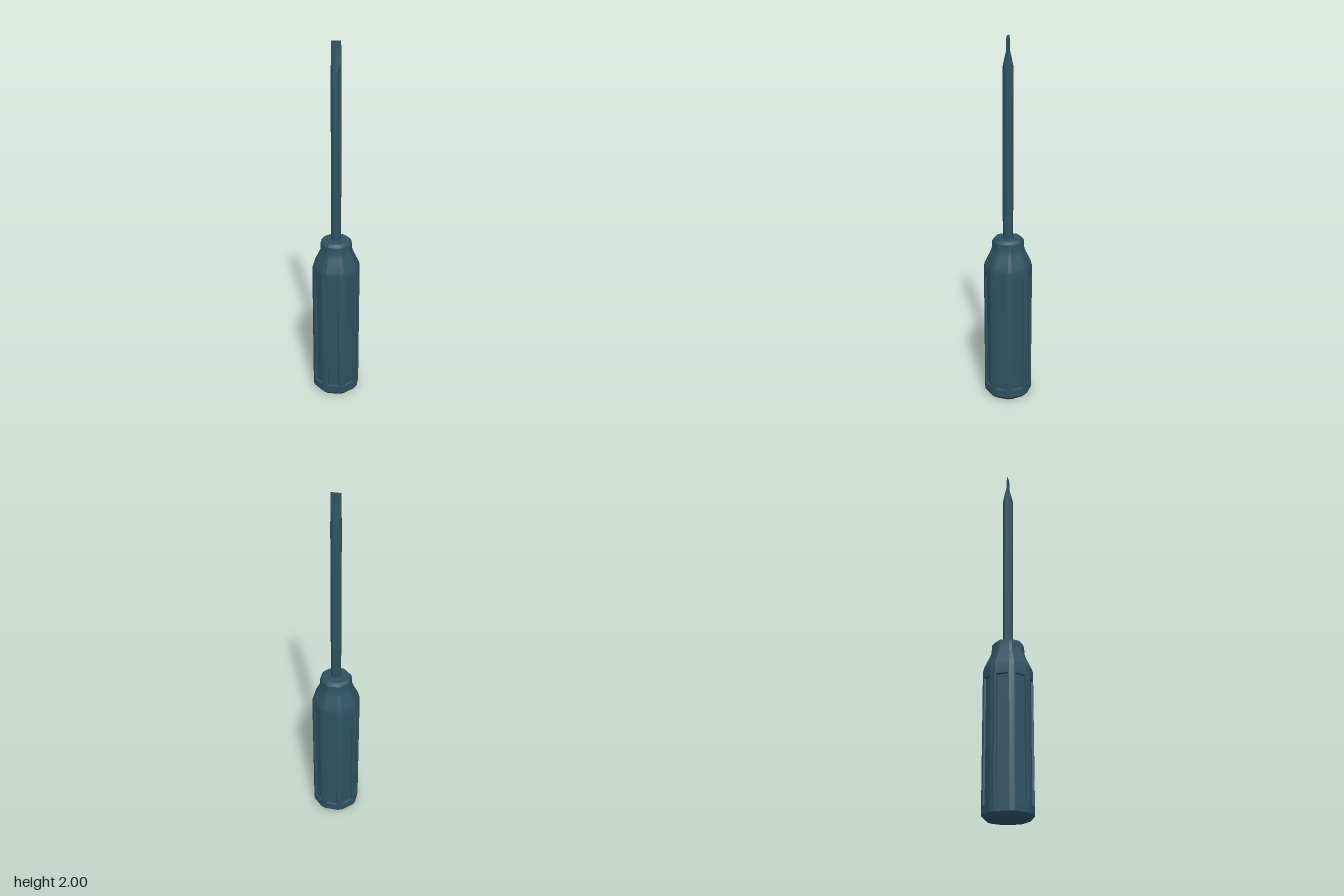
import * as THREE from 'three';
import { toCreasedNormals } from 'three/addons/utils/BufferGeometryUtils.js';

const STEP = Math.PI / 4;

// Point on side k of an octagonal prism: u along the side, out from the axis
function sidePoint(k, u, y, out) {
  const c = Math.cos(k * STEP), s = Math.sin(k * STEP);
  return [u * c + out * s, y, -u * s + out * c];
}

function quad(list, a, b, c, d) {
  list.push(...a, ...b, ...c, ...a, ...c, ...d);
}

// Octagon with bevelled corners (16 points)
function bevelledRing(y, out, half) {
  const ring = [];
  for (let k = 0; k < 8; k++) ring.push(sidePoint(k, -half, y, out), sidePoint(k, half, y, out));
  return ring;
}

// Regular octagon, with its x and z half widths set separately
function octagonRing(y, halfX, halfZ) {
  const ring = [];
  for (let k = 0; k < 8; k++) {
    const p = sidePoint(k, -Math.tan(STEP / 2), y, 1);
    ring.push([p[0] * halfX, y, p[2] * halfZ]);
  }
  return ring;
}

// Skin between rings, closed at both ends; skip leaves faces open
function loft(list, rings, skip = () => false) {
  const n = rings[0].length;
  const top = rings[rings.length - 1];
  for (let i = 0; i < n; i++) {
    const j = (i + 1) % n;
    for (let r = 0; r < rings.length - 1; r++) {
      if (!skip(r, i)) quad(list, rings[r][i], rings[r][j], rings[r + 1][j], rings[r + 1][i]);
    }
    list.push(0, rings[0][0][1], 0, ...rings[0][j], ...rings[0][i]);
    list.push(0, top[0][1], 0, ...top[i], ...top[j]);
  }
}

function makeMesh(name, list, material) {
  const geometry = new THREE.BufferGeometry();
  geometry.setAttribute('position', new THREE.Float32BufferAttribute(list, 3));
  const mesh = new THREE.Mesh(toCreasedNormals(geometry, 0.35), material);
  mesh.name = name;
  return mesh;
}

export function createModel() {
  const group = new THREE.Group();
  group.name = 'screwdriver';
  const paint = new THREE.MeshStandardMaterial({ color: 0x2f5162 });
  paint.name = 'dark teal';

  // Handle: y, distance of the sides, half width of each flat
  const profile = [
    [0, 0.108, 0.033], [0.02, 0.126, 0.038], [0.77, 0.126, 0.038], [0.79, 0.121, 0.037],
    [0.85, 0.093, 0.03], [0.878, 0.083, 0.026], [0.918, 0.082, 0.026], [0.934, 0.069, 0.025],
  ];
  const handle = [];
  loft(handle, profile.map((p) => bevelledRing(...p)), (r, i) => r === 1 && i % 2 === 0);

  // Recessed grip panel in each of the eight sides
  const rect = (k, half, y0, y1, out) => [
    sidePoint(k, -half, y0, out), sidePoint(k, half, y0, out),
    sidePoint(k, half, y1, out), sidePoint(k, -half, y1, out),
  ];
  for (let k = 0; k < 8; k++) {
    const outer = rect(k, 0.038, 0.02, 0.77, 0.126);
    const rim = rect(k, 0.03, 0.062, 0.722, 0.126);
    const floor = rect(k, 0.027, 0.066, 0.718, 0.116);
    for (let i = 0; i < 4; i++) {
      const j = (i + 1) % 4;
      quad(handle, outer[i], outer[j], rim[j], rim[i]);
      quad(handle, rim[i], rim[j], floor[j], floor[i]);
    }
    quad(handle, ...floor);
  }
  group.add(makeMesh('handle', handle, paint));

  // Shaft, flattened into a blade at the tip
  const shaft = [];
  loft(shaft, [
    octagonRing(0.92, 0.026, 0.026), octagonRing(1.845, 0.026, 0.026),
    octagonRing(1.925, 0.025, 0.007), octagonRing(2, 0.025, 0.002),
  ]);
  group.add(makeMesh('shaftAndBlade', shaft, paint));

  return group;
}
